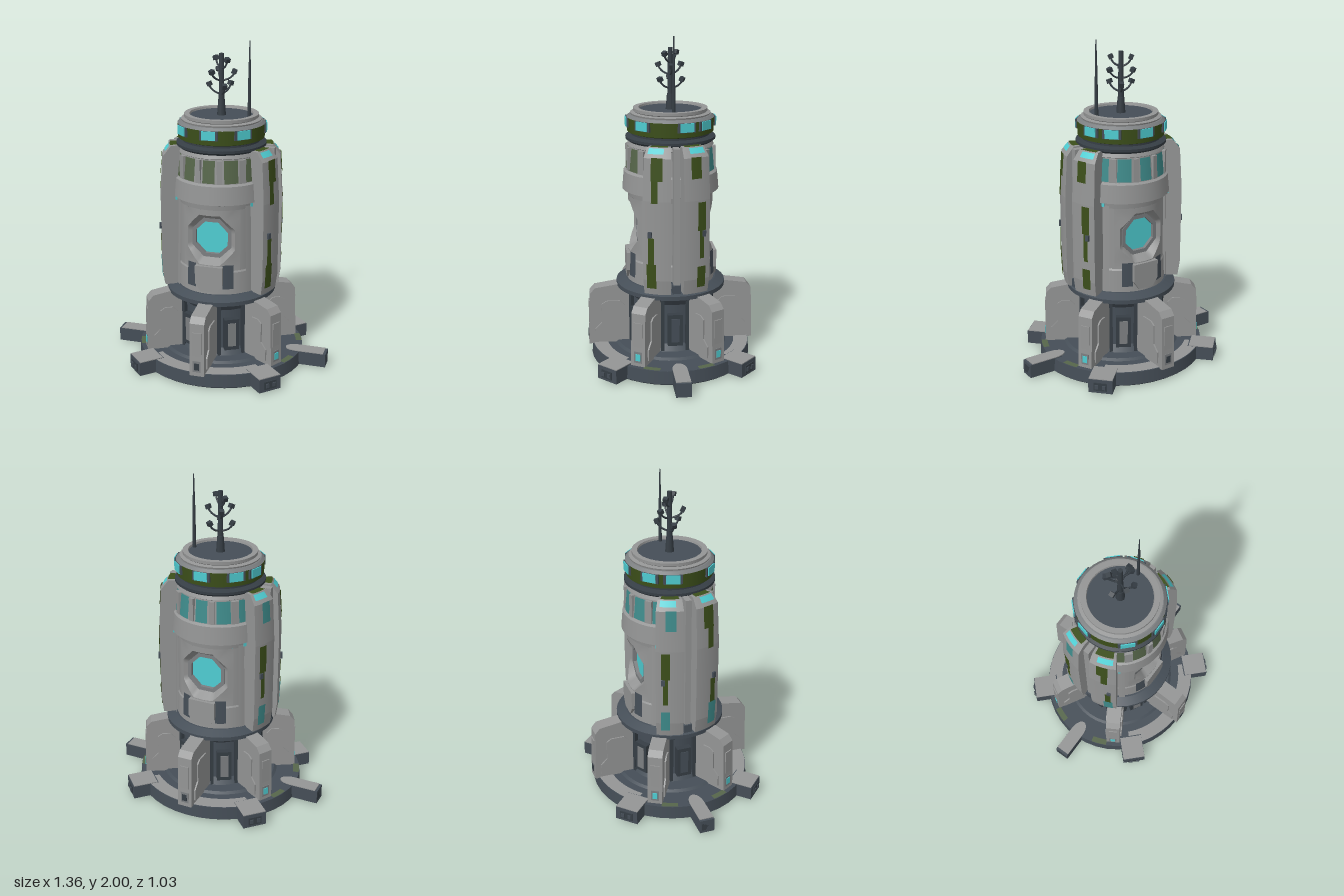
import * as THREE from 'three';

const mat = (name, color, side = THREE.FrontSide) =>
  Object.assign(new THREE.MeshStandardMaterial({ color, side }), { name });
const M = {
  hull: mat('hullGrey', 0x949595, THREE.DoubleSide),
  trim: mat('trimGrey', 0x7c7f81),
  slate: mat('slate', 0x454e57),
  dark: mat('darkMetal', 0x363e45),
  green: mat('armyGreen', 0x3c4f1a, THREE.DoubleSide),
  olive: mat('oliveGlass', 0x56664a, THREE.DoubleSide),
  glass: mat('dullTealGlass', 0x3f8c8c, THREE.DoubleSide),
  teal: mat('tealLight', 0x4fcdd2, THREE.DoubleSide),
};
const D = Math.PI / 180;

function add(parent, name, geo, material, x = 0, y = 0, z = 0) {
  const m = new THREE.Mesh(geo, material);
  m.name = name;
  m.position.set(x, y, z);
  parent.add(m);
  return m;
}
const box = (p, name, w, h, d, m, x, y, z) => add(p, name, new THREE.BoxGeometry(w, h, d), m, x, y, z);
const pts = (a) => a.map(([x, y]) => new THREE.Vector2(x, y));

// flat-faceted rings so profile edges stay crisp
function lathe(p, name, profile, m, seg = 40, start = 0, len = 360) {
  for (let i = 0; i < profile.length - 1; i++)
    add(p, name, new THREE.LatheGeometry(pts([profile[i], profile[i + 1]]), seg, start * D, len * D), m);
}

// thin curved plate lying on a round wall, angle measured from +z toward +x
function arcPlate(p, name, m, angle, half, y0, y1, r0, r1 = r0) {
  return add(p, name, new THREE.CylinderGeometry(r1, r0, y1 - y0, 4, 1, true, (angle - half) * D, 2 * half * D),
    m, 0, (y0 + y1) / 2, 0);
}

// flat ring sector facing up, centred on an angle measured from +z toward +x
function floorPlate(p, name, m, angle, half, r0, r1, y) {
  const geo = new THREE.RingGeometry(r0, r1, 20, 1, (angle - 90 - half) * D, 2 * half * D).rotateX(-Math.PI / 2);
  return add(p, name, geo, m, 0, y, 0);
}

// radial group whose local +z points outward
function spoke(parent, name, angle) {
  const g = new THREE.Group();
  g.name = name;
  g.rotation.y = angle * D;
  parent.add(g);
  return g;
}

// slab with a radial (r, y) outline, centred on the spoke
function slab(p, name, outline, width, m) {
  const geo = new THREE.ExtrudeGeometry(new THREE.Shape(pts(outline)), { depth: width, bevelEnabled: false });
  geo.translate(0, 0, -width / 2).rotateY(-Math.PI / 2);
  return add(p, name, geo, m);
}

function octagon(r, hole) {
  const ring = (q) => pts([...Array(8)].map((_, i) => [q * Math.cos((i + 0.5) * 45 * D), q * Math.sin((i + 0.5) * 45 * D)]));
  const s = new THREE.Shape(ring(r));
  if (hole) s.holes.push(new THREE.Path(ring(hole)));
  return s;
}

// ring between two outlines, each a function of angle giving a 3D point
function loft(inner, outer) {
  const geo = new THREE.RingGeometry(1, 2, 48, 4);
  const pos = geo.attributes.position;
  for (let i = 0; i < pos.count; i++) {
    const x = pos.getX(i), y = pos.getY(i), a = Math.atan2(y, x);
    const v = inner(a).lerp(outer(a), Math.hypot(x, y) - 1);
    pos.setXYZ(i, v.x, v.y, v.z);
  }
  return geo;
}
const WALL = 0.258;
const HALF = 0.19;
const octR = (a, apothem) => apothem / Math.cos(((((a / D + 382.5) % 45) + 45) % 45 - 22.5) * D);
const squareR = (a) => HALF / Math.max(Math.abs(Math.cos(a)), Math.abs(Math.sin(a)));
const polar = (a, r, z) => new THREE.Vector3(r * Math.cos(a), r * Math.sin(a), z);
// bends a flat outline onto the round wall
function onWall(v) {
  v.z = WALL * Math.cos(v.x / WALL);
  v.x = WALL * Math.sin(v.x / WALL);
  return v;
}

function buildBase(root) {
  const g = new THREE.Group();
  g.name = 'base';
  root.add(g);
  const disc = add(g, 'baseDisc', new THREE.CylinderGeometry(0.515, 0.52, 0.08, 40), M.slate, 0, 0.055, 0);
  const foot = add(g, 'baseUnderside', new THREE.CylinderGeometry(0.515, 0.505, 0.02, 40), M.dark, 0, 0.014, 0);
  const step = add(g, 'baseStep', new THREE.CylinderGeometry(0.35, 0.37, 0.015, 40), M.slate, 0, 0.1, 0);
  // pale walkways front and back, faded green markings at the sides
  const walks = [0, 180].map((a) => floorPlate(g, 'walkway', M.hull, a, 45, 0.42, 0.512, 0.098));
  const marks = [70, 110, 250, 290].map((a) => floorPlate(g, 'floorMarking', M.olive, a, 6, 0.475, 0.512, 0.098));
  [disc, foot, step, ...walks, ...marks].forEach((m) => (m.scale.z = 0.95));
  // long side arms with a rounded tongue
  for (const a of [90, -90]) {
    const s = spoke(g, 'sideArm', a);
    box(s, 'armBeam', 0.09, 0.085, 0.22, M.slate, 0, 0.056, 0.57);
    box(s, 'armTop', 0.088, 0.006, 0.17, M.hull, 0, 0.1, 0.58);
    const tongue = add(s, 'armTongue', new THREE.CylinderGeometry(0.044, 0.044, 0.006, 20), M.hull, 0, 0.1, 0.5);
    tongue.scale.z = 1.8;
    box(s, 'armEnd', 0.07, 0.05, 0.006, M.dark, 0, 0.055, 0.677);
  }
  // diagonal tabs with sockets
  for (const a of [45, 135, 225, 315]) {
    const s = spoke(g, 'cornerTab', a);
    box(s, 'tabBlock', 0.145, 0.085, 0.16, M.slate, 0, 0.056, 0.52);
    box(s, 'tabTop', 0.143, 0.006, 0.15, M.hull, 0, 0.1, 0.522);
    box(s, 'tabSocket', 0.08, 0.05, 0.012, M.dark, 0, 0.055, 0.6);
    for (const x of [-0.022, 0.022]) box(s, 'tabPlug', 0.02, 0.025, 0.012, M.slate, x, 0.055, 0.606);
  }
}

function buildLower(root) {
  const g = new THREE.Group();
  g.name = 'lowerStage';
  root.add(g);
  lathe(g, 'core', [[0.27, 0.1], [0.24, 0.15], [0.24, 0.4], [0.29, 0.47]], M.slate, 24);
  lathe(g, 'collar', [[0.28, 0.45], [0.335, 0.465], [0.335, 0.49], [0.28, 0.515], [0.2, 0.515]], M.slate);
  for (let i = 0; i < 6; i++) {
    const r = i % 3 ? 0.47 : 0.503;
    const b = spoke(g, 'buttress', i * 60);
    slab(b, 'buttressBody', [[0.22, 0.09], [r + 0.01, 0.09], [r, 0.42], [r - 0.03, 0.455], [0.32, 0.478], [0.22, 0.478]], 0.09, M.hull);
    slab(b, 'buttressSidePanel', [[0.29, 0.12], [r - 0.03, 0.12], [r - 0.03, 0.19], [r - 0.07, 0.23], [r - 0.07, 0.35],
      [r - 0.1, 0.37], [0.32, 0.37], [0.29, 0.34]], 0.108, M.hull);
    box(b, 'buttressFacePlate', 0.056, 0.15, 0.012, M.hull, 0, 0.29, r + 0.002);
    box(b, 'lampHousing', 0.05, 0.07, 0.02, M.trim, 0, 0.15, r);
    box(b, 'lamp', 0.03, 0.042, 0.006, i % 3 ? M.teal : M.dark, 0, 0.15, r + 0.011);
    // framed alcove panel between buttresses
    const a = spoke(g, 'alcove', i * 60 + 30);
    box(a, 'alcoveFrame', 0.09, 0.2, 0.05, M.dark, 0, 0.25, 0.25);
    box(a, 'alcovePanel', 0.05, 0.15, 0.02, i % 3 === 1 ? M.slate : M.trim, 0, 0.25, 0.27);
    for (const x of [-0.075, 0.075]) box(a, 'corePipe', 0.02, 0.34, 0.03, M.dark, x, 0.28, 0.24);
  }
}

function buildBody(root) {
  const g = new THREE.Group();
  g.name = 'tower';
  root.add(g);
  lathe(g, 'towerSkirt', [[0.27, 0.5], [0.264, 0.65], [WALL, 0.66]], M.hull);
  lathe(g, 'towerBand', [[WALL, 1.04], [0.262, 1.07], [0.292, 1.08], [0.282, 1.19], [0.265, 1.2], [0.25, 1.345],
    [0.26, 1.35], [0.245, 1.385], [0.2, 1.385]], M.hull);
  const edge = HALF / WALL / D;
  for (const side of [0, 180]) {
    lathe(g, 'towerWall', [[WALL, 0.66], [WALL, 1.04]], M.hull, 12, side + edge, 180 - 2 * edge);
    // upper window band
    for (const [a, h] of [[0, 8], [29, 9], [-29, 9], [56, 7], [-56, 7]])
      arcPlate(g, 'bandWindow', side ? M.glass : M.olive, side + a, h, 1.205, 1.34, 0.269, 0.256);
    for (const [a, w] of [[14, 0.03], [43.5, 0.044]]) for (const k of [-1, 1])
      box(spoke(g, 'mullion', side + k * a), 'mullionBar', w, 0.14, 0.02, M.hull, 0, 1.272, 0.262);
    // octagonal porthole sunk into the wall, with a bracket beneath
    const s = spoke(g, 'porthole', side);
    const rim = (a) => onWall(polar(a, octR(a, 0.155), 0));
    add(s, 'portholeWall', loft(rim, (a) => onWall(polar(a, squareR(a), 0))), M.hull, 0, 0.85, 0)
      .geometry.computeVertexNormals();
    add(s, 'portholeFunnel', loft((a) => polar(a, octR(a, 0.118), 0.195), rim), M.hull, 0, 0.85, 0)
      .geometry.computeVertexNormals();
    const ring = (name, r, hole, z, d, m) => add(s, name,
      new THREE.ExtrudeGeometry(octagon(r, hole), { depth: d, bevelEnabled: false }), m, 0, 0.85, z);
    ring('portholeFrame', 0.132, 0.107, 0.16, 0.042, M.trim);
    ring('portholeGlass', 0.11, 0, 0.172, 0.008, M.teal);
    const bracket = new THREE.Shape(pts([[-0.05, 0.53], [0.05, 0.53], [0.085, 0.58], [0.085, 0.69], [-0.085, 0.69], [-0.085, 0.58]]));
    add(s, 'bracket', new THREE.ExtrudeGeometry(bracket, { depth: 0.05, bevelEnabled: false }), M.hull, 0, 0, 0.225);
    for (const k of [-1, 1]) {
      arcPlate(g, 'bracketRecess', M.slate, side + k * 25, 7, 0.55, 0.7, 0.272, 0.266);
      arcPlate(g, 'edgeStrip', M.hull, side + k * 52, 4, 0.52, 1.06, 0.282, 0.27);
      const lamp = spoke(g, 'wallLamp', side + k * 55);
      box(lamp, 'wallLampLens', 0.015, 0.025, 0.008, M.teal, 0, 1.07, 0.285);
    }
  }
  // four armour pods, two per side
  const prof = [[0.21, 0.51], [0.355, 0.51], [0.368, 0.6], [0.37, 1.08], [0.355, 1.33], [0.31, 1.385], [0.21, 1.385]];
  for (const a of [71, 109, 251, 289]) {
    const p = new THREE.Group();
    p.name = 'armourPod';
    g.add(p);
    lathe(p, 'podShell', prof, M.hull, 6, a - 13, 26);
    for (const e of [-13, 13])
      add(p, 'podEnd', new THREE.ShapeGeometry(new THREE.Shape(pts(prof))), M.hull).rotation.y = (a + e - 90) * D;
    const out = a === 71 || a === 251 ? -1 : 1; // toward the pod edge farthest from the seam
    const tint = a === 251 ? M.glass : M.green;
    // cap: green inner step, teal outer slope
    floorPlate(p, 'podCapStep', M.green, a, 10, 0.25, 0.31, 1.388);
    arcPlate(p, 'podCapLight', M.teal, a + out * 2, 8, 1.353, 1.382, 0.342, 0.318);
    if (a === 71 || a === 289) {
      arcPlate(p, 'podUpperPanel', tint, a, 5.5, 1.2, 1.335, 0.368, 0.358);
      arcPlate(p, 'podUpperTail', tint, a + out * 2, 3, 1.07, 1.2, 0.374, 0.368);
      arcPlate(p, 'podLowerPanel', a === 289 ? M.glass : tint, a + out * 5, 4.5, 0.55, 0.7, 0.366, 0.373);
      arcPlate(p, 'podStripe', M.green, a + out * 5, 2.8, 0.7, 0.86, 0.373);
    } else {
      arcPlate(p, 'podUpperPanel', tint, a - out, 5, 1.21, 1.335, 0.367, 0.358);
      arcPlate(p, 'podLowerPanel', tint, a + out * 4, 4.2, 0.55, 0.68, 0.366, 0.373);
      arcPlate(p, 'podStripe', M.green, a + out * 4, 4, 0.9, 1.07, 0.374);
      arcPlate(p, 'podStripeTail', M.green, a + out * 4, 2.2, 0.73, 0.9, 0.374);
    }
    box(spoke(p, 'podClasp', a + out * 6), 'claspBlock', 0.022, 0.035, 0.016, M.slate, 0, 0.88, 0.373);
  }
  // seam ribs between pods
  for (const a of [90, -90]) {
    const s = spoke(g, 'seamRib', a);
    box(s, 'ribBar', 0.036, 0.82, 0.12, M.hull, 0, 0.97, 0.27);
    box(s, 'ribFoot', 0.05, 0.05, 0.12, M.slate, 0, 0.535, 0.28);
  }
}

function buildCrown(root) {
  const g = new THREE.Group();
  g.name = 'crown';
  root.add(g);
  lathe(g, 'neck', [[0.25, 1.37], [0.27, 1.385], [0.27, 1.4], [0.235, 1.41], [0.235, 1.43]], M.dark);
  lathe(g, 'greenRing', [[0.23, 1.42], [0.258, 1.43], [0.262, 1.515]], M.green);
  lathe(g, 'ringCap', [[0.262, 1.515], [0.245, 1.53], [0.2, 1.535]], M.trim);
  for (const a of [0, 45, 105, 135, 180, 225, 255, 315]) {
    const s = spoke(g, 'ringLamp', a);
    box(s, 'lampMount', 0.11, 0.056, 0.03, M.slate, 0, 1.487, 0.25);
    box(s, 'lampLens', 0.082, 0.052, 0.008, M.teal, 0, 1.488, 0.267);
  }
  lathe(g, 'upperRim', [[0.235, 1.525], [0.24, 1.54], [0.215, 1.545], [0.222, 1.55], [0.222, 1.568], [0.19, 1.568], [0.186, 1.552]], M.hull);
  add(g, 'deck', new THREE.CylinderGeometry(0.2, 0.2, 0.02, 40), M.slate, 0, 1.546, 0);
}

function buildAntennas(root) {
  const g = new THREE.Group();
  g.name = 'antennas';
  root.add(g);
  add(g, 'mastBase', new THREE.CylinderGeometry(0.02, 0.028, 0.1, 8), M.dark, 0, 1.6, 0);
  add(g, 'mast', new THREE.CylinderGeometry(0.014, 0.018, 0.3, 8), M.dark, 0, 1.77, 0);
  // tiers of angled branches with small receivers
  [[1.69, 30, 0.075, 3], [1.77, 90, 0.078, 3], [1.84, 50, 0.06, 2]].forEach(([y, turn, r, n]) => {
    for (let i = 0; i < n; i++) {
      const s = spoke(g, 'branch', turn + (i * 360) / n);
      const c = new THREE.QuadraticBezierCurve3(new THREE.Vector3(0, y - 0.01, 0), new THREE.Vector3(0, y, r * 0.8), new THREE.Vector3(0, y + 0.04, r));
      add(s, 'branchArm', new THREE.TubeGeometry(c, 5, 0.006, 5), M.dark);
      box(s, 'receiver', 0.028, 0.026, 0.026, M.dark, 0, y + 0.047, r).rotation.x = 0.4;
    }
  });
  add(g, 'whipBase', new THREE.CylinderGeometry(0.008, 0.011, 0.25, 6), M.dark, 0.17, 1.675, 0);
  add(g, 'whip', new THREE.CylinderGeometry(0.003, 0.008, 0.2, 6), M.dark, 0.17, 1.9, 0);
}

export function createModel() {
  const root = new THREE.Group();
  root.name = 'towerBuilding';
  [buildBase, buildLower, buildBody, buildCrown, buildAntennas].forEach((f) => f(root));
  return root;
}
